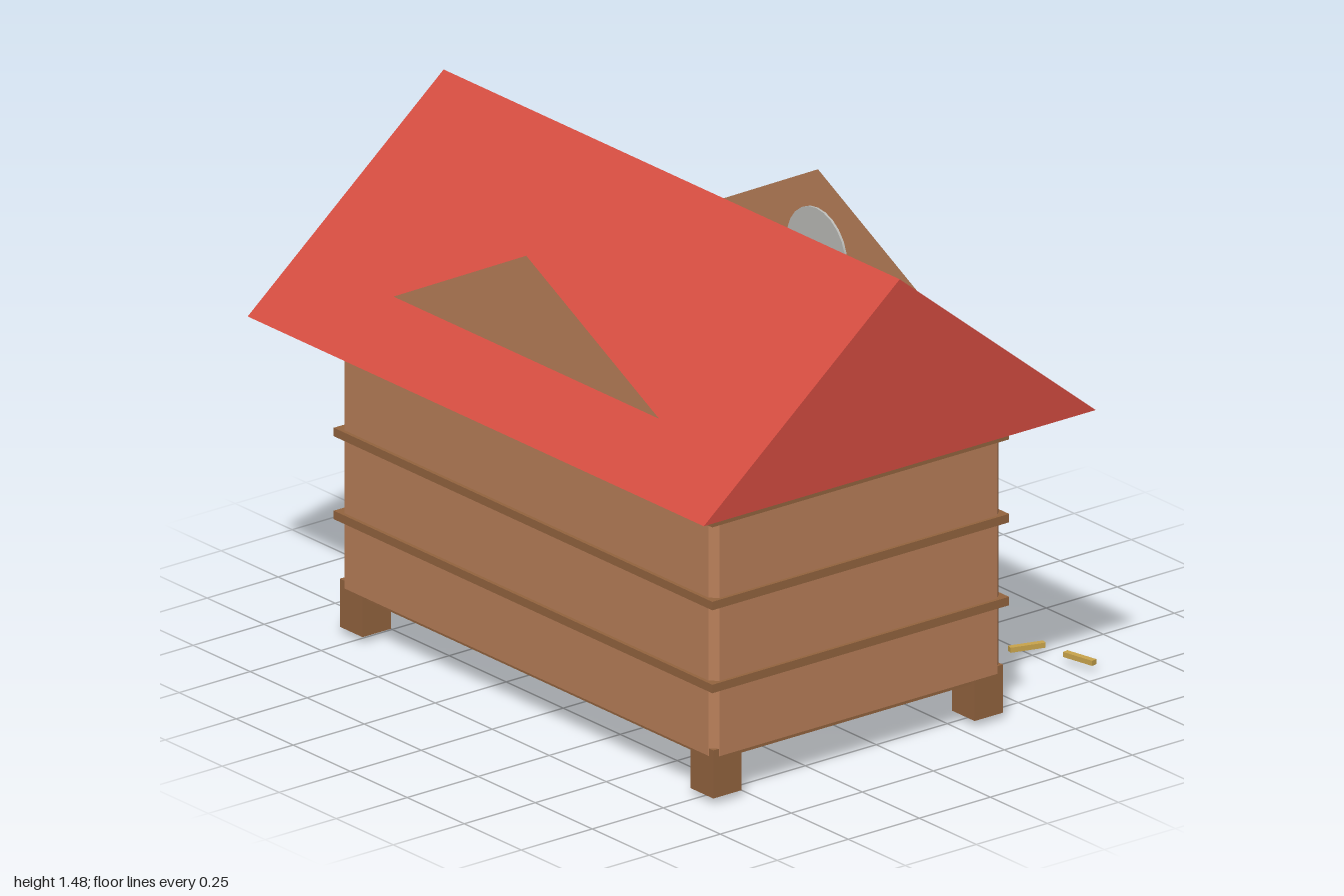
import * as THREE from 'three';

export function createModel() {
  const model = new THREE.Group();
  model.name = 'woodenHouse';
  const mat = (name, color, side = THREE.FrontSide) => {
    const m = new THREE.MeshStandardMaterial({ color, side });
    m.name = name;
    return m;
  };
  const wall = mat('wallWood', 0xb97f59, THREE.DoubleSide);
  const trim = mat('trimWood', 0x94643f);
  const roofRed = mat('roofRed', 0xd44c40);
  const dark = mat('darkOpening', 0x442c30);
  const grey = mat('greyStone', 0xbcbcb8);
  const straw = mat('straw', 0xc9a44c);

  const add = (name, geo, material, x = 0, y = 0, z = 0, parent = model) => {
    const m = new THREE.Mesh(geo, material);
    m.name = name;
    m.position.set(x, y, z);
    parent.add(m);
    return m;
  };
  const box = (name, w, h, d, material, x, y, z, parent) =>
    add(name, new THREE.BoxGeometry(w, h, d), material, x, y, z, parent);
  const polygon = (pts) => new THREE.Shape(pts.map(([x, y]) => new THREE.Vector2(x, y)));
  const prism = (pts, depth) =>
    new THREE.ExtrudeGeometry(polygon(pts), { depth, bevelEnabled: false });

  // Body: rectangle with narrow chamfered corners, extruded upwards
  const midZ = 0.119, X = 0.82, Z = 0.511, c = 0.022;
  const body = prism([
    [X - c, -Z], [X, -Z + c], [X, Z - c], [X - c, Z],
    [-X + c, Z], [-X, Z - c], [-X, -Z + c], [-X + c, -Z],
  ], 0.8);
  body.rotateX(-Math.PI / 2);
  add('walls', body, wall, 0, 0.145, midZ);
  box('floor', 1.61, 0.02, 0.99, trim, 0, 0.139, midZ);

  // Feet under the four corners
  for (const sx of [-1, 1]) for (const sz of [-1, 1])
    box('foot', 0.1, 0.142, 0.1, trim, sx * 0.769, 0.096, midZ + sz * 0.46);

  // Horizontal bands around the walls
  for (const y of [0.355, 0.6, 0.845])
    box('wallBand', 1.66, 0.025, 1.045, trim, 0, y, midZ);

  // Roof prism running along x
  const roof = prism([[-0.808, 0.93], [0.572, 0.93], [-0.118, 1.488]], 2);
  roof.rotateY(Math.PI / 2);
  add('roof', roof, roofRed, -1, 0, 0);

  // Flat gables standing through both roof slopes
  const gable = new THREE.ShapeGeometry(polygon([[-0.82, 0.951], [0.82, 0.951], [0, 1.375]]));
  add('frontGable', gable, wall, 0, 0, 0.63);
  add('backGable', gable, wall, 0, 0, -0.397);

  // Round window on the back gable
  const disc = (r, d) => new THREE.CylinderGeometry(r, r, d, 24).rotateX(Math.PI / 2);
  add('windowFrame', disc(0.13, 0.026), grey, 0, 1.132, -0.403);
  add('windowPane', disc(0.11, 0.012), dark, 0, 1.132, -0.417);

  // Back door and lintel
  box('door', 0.41, 0.49, 0.03, dark, 0, 0.435, -0.4);
  box('lintel', 0.48, 0.05, 0.035, grey, 0, 0.705, -0.405);

  // Ramp board with cleats
  const ramp = new THREE.Group();
  ramp.name = 'ramp';
  ramp.position.set(0, 0.085, -0.58);
  ramp.rotation.x = Math.atan2(0.135, 0.41);
  model.add(ramp);
  box('rampBoard', 0.37, 0.026, 0.425, trim, 0, 0, 0, ramp);
  for (const z of [-0.125, 0, 0.125])
    box('rampCleat', 0.37, 0.02, 0.022, trim, 0, 0.018, z, ramp);

  // Loose straws: centre x, centre z, direction x, direction z
  for (const [x, z, dx, dz] of [
    [-0.527, -0.765, 0.075, 0.06], [-0.38, -0.67, -0.04, 0.1],
    [-0.38, -0.525, -0.03, 0.1], [0.178, -0.735, 0.08, 0.06],
    [0.495, -0.735, -0.03, 0.1], [0.652, -0.795, 0.1, -0.02],
  ]) {
    const s = box('straw', 0.104, 0.015, 0.018, straw, x, 0.034, z);
    s.rotation.y = Math.atan2(-dz, dx);
  }
  return model;
}
